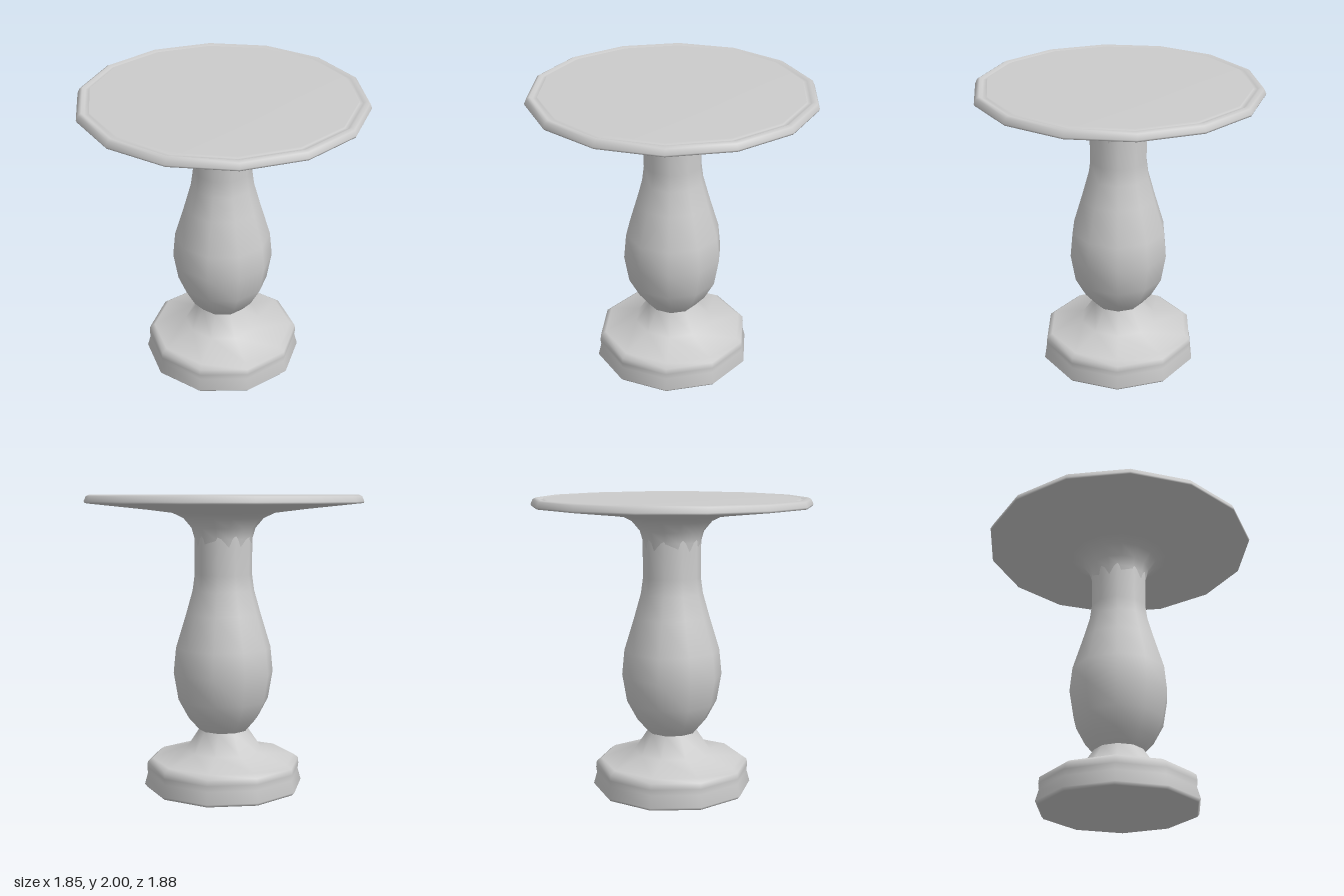
import * as THREE from 'three';

const material = new THREE.MeshStandardMaterial({ color: 0xcccccc });

// Smooth turned part: profile of [radius, height] from bottom to top
function turned(name, profile, sides, startDegrees) {
  const points = profile.map(([r, y]) => new THREE.Vector2(r, y));
  const start = THREE.MathUtils.degToRad(startDegrees);
  const mesh = new THREE.Mesh(new THREE.LatheGeometry(points, sides, start), material);
  mesh.name = name;
  return mesh;
}

export function createModel() {
  const group = new THREE.Group();
  group.name = 'birdBath';

  // Stepped round foot with a waist, flaring up to the ankle of the column
  group.add(turned('base', [
    [0, 0], [0.53, 0], [0.547, 0.02], [0.525, 0.1], [0.53, 0.14],
    [0.525, 0.18], [0.49, 0.205], [0.265, 0.26], [0.17, 0.4], [0.17, 0.44],
  ], 10, 16));

  // Baluster column
  group.add(turned('column', [
    [0.17, 0.4], [0.24, 0.48], [0.31, 0.61], [0.342, 0.8], [0.325, 0.97],
    [0.255, 1.2], [0.21, 1.36], [0.195, 1.47], [0.197, 1.72], [0.19, 1.8],
  ], 10, 16));

  // Wide dish: flared neck, thin underside, rounded rim, shallow groove and flat top
  group.add(turned('dish', [
    [0.18, 1.6], [0.195, 1.71], [0.215, 1.78], [0.27, 1.845], [0.345, 1.88],
    [0.55, 1.905], [0.935, 1.945], [0.94, 1.957], [0.925, 1.99], [0.905, 2],
    [0.885, 1.988], [0.858, 1.985], [0.856, 1.998], [0, 1.998],
  ], 14, 2.7));

  return group;
}
